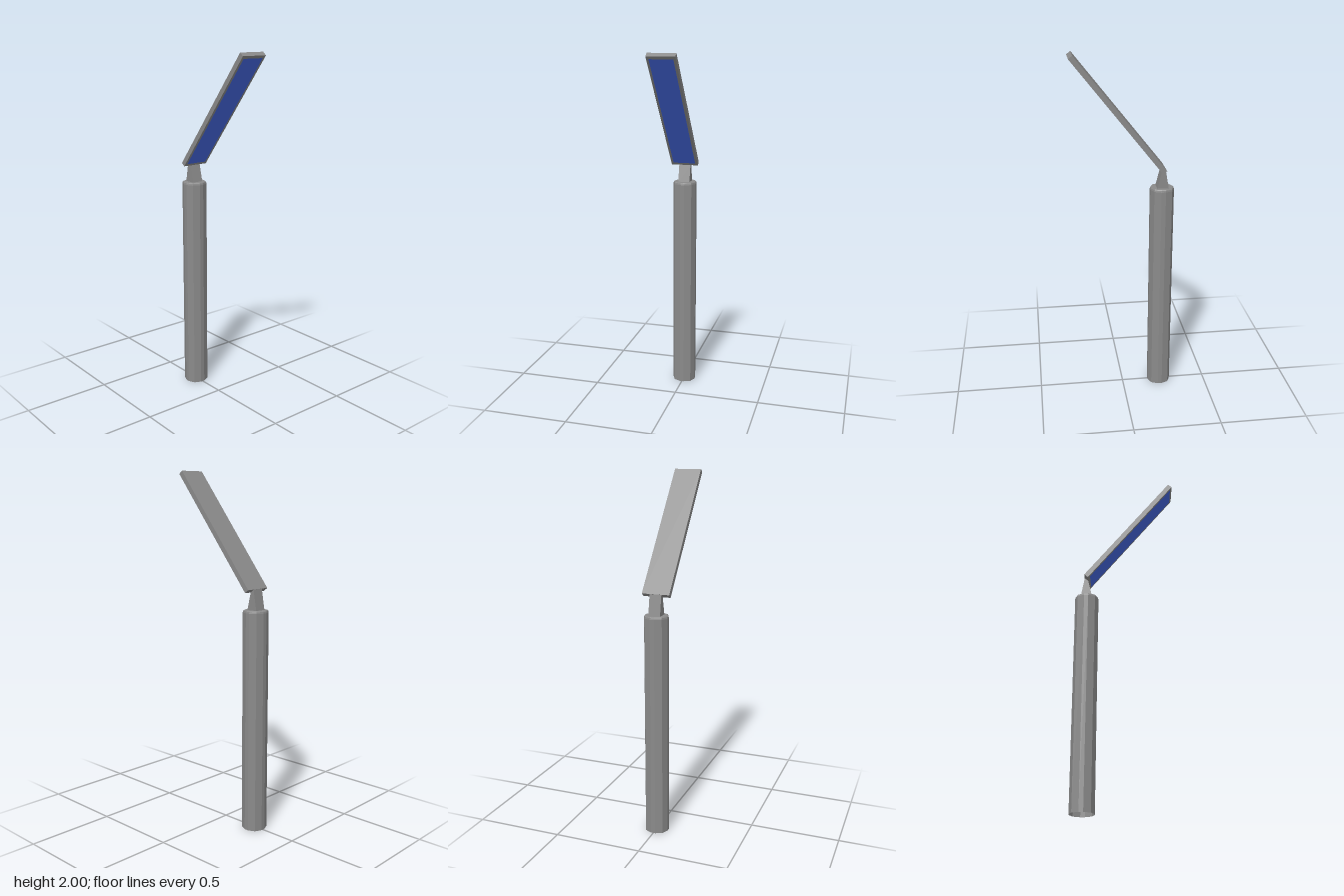
import * as THREE from 'three';

const AXIS_Z = -0.222;

export function createModel() {
  const model = new THREE.Group();
  const grey = new THREE.MeshStandardMaterial({ color: 0x8a8a8a, flatShading: true, side: THREE.DoubleSide });
  const blue = new THREE.MeshStandardMaterial({ color: 0x4668e0 });
  const add = (name, geometry, material, parent = model) => {
    const mesh = new THREE.Mesh(geometry, material);
    mesh.name = name;
    parent.add(mesh);
    return mesh;
  };

  // Pole: twelve-sided tube, open below, with a bevelled and closed top
  const section = [];
  for (let q = 0; q < 4; q++) {
    for (const [x, z] of [[0.067, -0.012], [0.067, 0.012], [0.05, 0.05]]) {
      const p = new THREE.Vector2(x, z).rotateAround(new THREE.Vector2(), q * Math.PI / 2);
      section.push(p);
    }
  }
  const rings = [[0, 1], [1.242, 1], [1.251, 0.97], [1.255, 0.91], [1.255, 0]]; // height, scale
  const n = section.length, positions = [], index = [];
  for (const [y, s] of rings) for (const p of section) positions.push(p.x * s, y, p.y * s);
  for (let r = 0; r < rings.length - 1; r++) {
    for (let i = 0; i < n; i++) {
      const a = r * n + i, b = r * n + (i + 1) % n;
      index.push(a, a + n, b);
      if (r < rings.length - 2) index.push(b, a + n, b + n);
    }
  }
  const poleGeometry = new THREE.BufferGeometry();
  poleGeometry.setAttribute('position', new THREE.Float32BufferAttribute(positions, 3));
  poleGeometry.setIndex(index);
  poleGeometry.computeVertexNormals();
  add('pole', poleGeometry, grey).position.z = AXIS_Z;

  // Neck: tapered bracket, its slanted top meeting the lower end of the panel
  const profile = new THREE.Shape([[-0.034, 1.25], [0.032, 1.25], [0.007, 1.354], [-0.013, 1.369]]
    .map(([z, y]) => new THREE.Vector2(z, y)));
  const neckGeometry = new THREE.ExtrudeGeometry(profile, { depth: 0.067, bevelEnabled: false });
  neckGeometry.translate(0, 0, -0.0335).rotateY(-Math.PI / 2);
  add('neck', neckGeometry, grey).position.z = AXIS_Z;

  // Tilted panel with a coloured face set within a narrow border
  const panel = new THREE.Group();
  panel.name = 'panel';
  panel.position.set(0, 1.676, 0.026);
  panel.rotation.x = THREE.MathUtils.degToRad(38.5);
  model.add(panel);
  add('panelFrame', new THREE.BoxGeometry(0.156, 0.806, 0.028), grey, panel);
  add('panelFace', new THREE.PlaneGeometry(0.13, 0.772), blue, panel).position.z = 0.015;

  return model;
}
